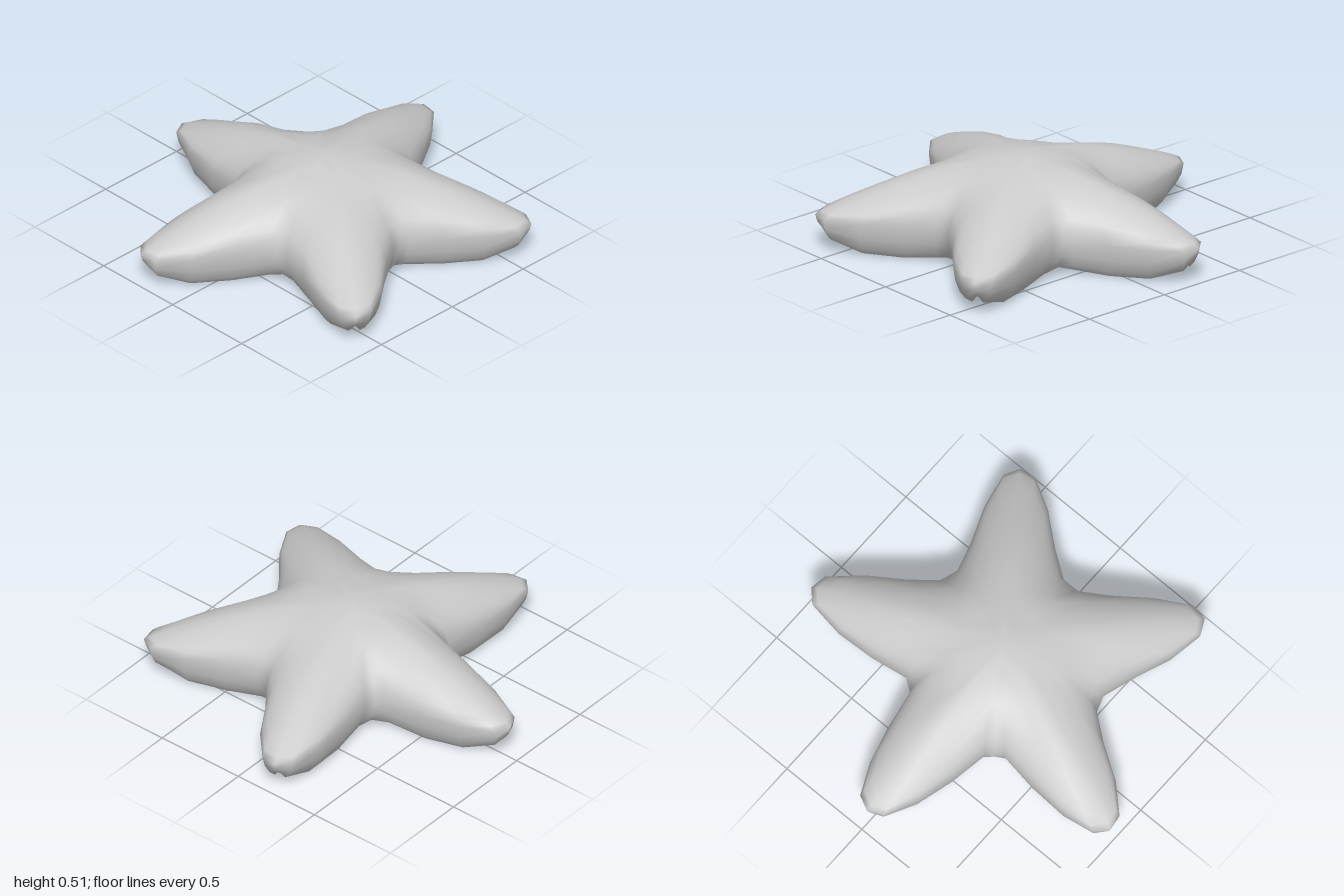
import * as THREE from 'three';

const CENTRE_Z = 0.09;
const EDGE_Y = 0.2;

// Piecewise linear lookup in [position, value] pairs
function lookup(table, p) {
  for (let i = 1; i < table.length; i++) {
    const [p0, v0] = table[i - 1], [p1, v1] = table[i];
    if (p <= p1) return THREE.MathUtils.mapLinear(p, p0, p1, v0, v1);
  }
  return table[table.length - 1][1];
}

// Ridge height and arm half width, by distance from the centre
const RIDGE = [[0, 0.517], [0.38, 0.452], [0.6, 0.39], [0.84, 0.3], [1.05, 0.21]];
const HALF_WIDTH = [[0, 0.3], [0.42, 0.3], [0.455, 0.265], [0.63, 0.215], [0.84, 0.16], [1.01, 0.08], [1.05, 0.04]];

// Half an arm outline, tip to notch: [across, along, rim height]
const HALF_ARM = [
  [0, 1.05, 0.11], [0.08, 1.01, 0.07], [0.16, 0.84, 0.02],
  [0.215, 0.63, 0.01], [0.265, 0.455, 0.03], [0.308, 0.424, 0.055],
];
// Depth of the notch that follows each arm
const NOTCH = [0.94, 1.03, 1.03, 1.03, 0.94];

// Closed outline, clockwise from above, starting at the back arm
function makeOutline() {
  const outline = [];
  for (let arm = 0; arm < 5; arm++) {
    const turn = arm * Math.PI * 2 / 5;
    for (let i = -4; i <= 5; i++) {
      const [w, along, rim] = HALF_ARM[Math.abs(i)];
      const k = Math.abs(i) < 4 ? 1 : NOTCH[i > 0 ? arm : (arm + 4) % 5];
      const across = w * Math.sign(i);
      outline.push({
        pos: new THREE.Vector3(
          k * (across * Math.cos(turn) + along * Math.sin(turn)), 0,
          k * (across * Math.sin(turn) - along * Math.cos(turn))),
        turn, rim,
      });
    }
  }
  return outline;
}

function makeShell() {
  const outline = makeOutline();
  const n = outline.length;
  const edges = outline.map((o, i) => new THREE.Line3(o.pos, outline[(i + 1) % n].pos));
  const near = new THREE.Vector3();

  // Rounded arm section that fades into the domed middle
  function topHeight(p, turn) {
    const along = p.x * Math.sin(turn) - p.z * Math.cos(turn);
    const gap = Math.min(...edges.map(e => e.closestPointToPoint(p, true, near).distanceTo(p)));
    const t = 1 - Math.min(1, gap / lookup(HALF_WIDTH, along));
    return EDGE_Y + (lookup(RIDGE, p.length()) - EDGE_Y) * Math.sqrt(1 - t * t);
  }

  const verts = [0, RIDGE[0][1], CENTRE_Z];
  const put = (p, y) => verts.push(p.x, y, p.z + CENTRE_Z);

  // Upper rings, from the middle out to the widest edge
  const rings = [0.18, 0.36, 0.5, 0.63, 0.75, 0.85, 0.92, 0.97, 1];
  for (const s of rings) {
    for (const o of outline) {
      const p = o.pos.clone().multiplyScalar(s);
      put(p, s === 1 ? EDGE_Y : topHeight(p, o.turn));
    }
  }

  // Lower rings, curling in to the open rim
  const curl = [[0.012, 0.45], [0.035, 0.8], [0.065, 1]];
  for (const [inset, drop] of curl) {
    outline.forEach((o, i) => {
      const t = outline[(i + 1) % n].pos.clone().sub(outline[(i + n - 1) % n].pos).normalize();
      const p = o.pos.clone().add(new THREE.Vector3(-t.z, 0, t.x).multiplyScalar(inset));
      put(p, THREE.MathUtils.lerp(EDGE_Y, o.rim, drop));
    });
  }

  const id = (ring, j) => (ring === 0 ? 0 : 1 + (ring - 1) * n + j % n);
  const index = [];
  for (let r = 0; r < rings.length + curl.length; r++) {
    for (let j = 0; j < n; j++) {
      const a = id(r, j), b = id(r, j + 1), c = id(r + 1, j), d = id(r + 1, j + 1);
      if (r > 0) index.push(a, b, d);
      index.push(a, d, c);
    }
  }

  const geometry = new THREE.BufferGeometry();
  geometry.setAttribute('position', new THREE.Float32BufferAttribute(verts, 3));
  geometry.setIndex(index);
  geometry.computeVertexNormals();
  return geometry;
}

export function createModel() {
  const group = new THREE.Group();
  group.name = 'starfish';
  // Hollow five-armed shell, open underneath
  const material = new THREE.MeshStandardMaterial({ color: 0xcccccc, side: THREE.DoubleSide });
  const shell = new THREE.Mesh(makeShell(), material);
  shell.name = 'starfishShell';
  group.add(shell);
  return group;
}
